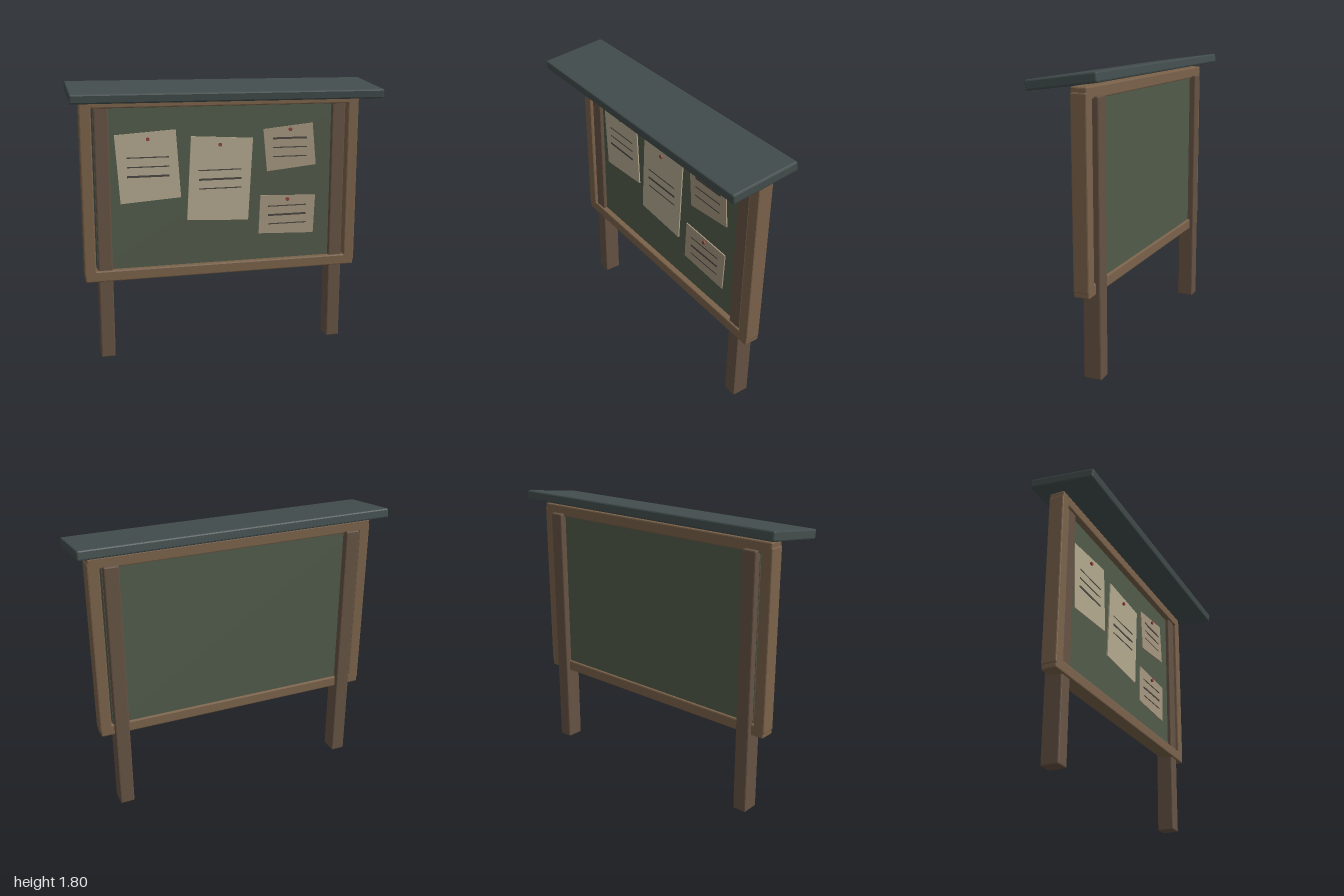
import * as THREE from 'three';
import { RoundedBoxGeometry } from 'three/addons/geometries/RoundedBoxGeometry.js';

const mat = (color) => {
  const m = new THREE.MeshStandardMaterial({ flatShading: true });
  m.color.set(color);
  return m;
};

export function createModel() {
  const model = new THREE.Group();
  const frameWood = mat(0x7a624a);
  const postWood = mat(0x665344);
  const slate = mat(0x434d4d);
  const felt = mat(0x515b4a);
  const paleSheet = mat(0xb3a98f);
  const darkSheet = mat(0xa5977f);
  const ink = mat(0x4a4642);
  const pinRed = mat(0x8f4236);

  // Beam with narrow chamfered edges, given by its extents
  function beam(name, material, [x0, x1], [y0, y1], [z0, z1], bevel = 0.008) {
    const geo = new RoundedBoxGeometry(x1 - x0, y1 - y0, z1 - z0, 1, bevel);
    const mesh = new THREE.Mesh(geo, material);
    mesh.position.set((x0 + x1) / 2, (y0 + y1) / 2, (z0 + z1) / 2);
    mesh.name = name;
    model.add(mesh);
    return mesh;
  }

  // Posts and frame stiles, mirrored
  for (const s of [-1, 1]) {
    const side = s > 0 ? 'left' : 'right';
    const span = (a, b) => (s > 0 ? [a, b] : [-b, -a]);
    beam(side + 'Post', postWood, span(0.747, 0.84), [0, 1.66], [-0.148, -0.033]);
    beam(side + 'Stile', frameWood, span(0.855, 0.93), [0.555, 1.685], [-0.12, -0.02]);
  }

  // Frame rails
  beam('bottomRail', frameWood, [-0.925, 0.925], [0.525, 0.597], [-0.12, -0.02]);
  beam('topRail', frameWood, [-0.925, 0.925], [1.643, 1.715], [-0.12, -0.02]);

  // Notice panel
  const panelFront = -0.06;
  beam('noticePanel', felt, [-0.845, 0.845], [0.59, 1.65], [-0.105, panelFront], 0.004);

  // Sloping roof, lower at the front
  const roof = beam('roof', slate, [-1, 1], [1.717, 1.777], [-0.218, 0.218], 0.01);
  roof.rotation.x = 0.133;

  // Pinned notices: x, y, width, height, tilt, pin height, bold line index
  const notices = [
    [-0.5, 1.262, 0.397, 0.445, 0.067, 1.44, 2, paleSheet],
    [-0.024, 1.163, 0.418, 0.552, -0.055, 1.39, 1, paleSheet],
    [0.457, 1.358, 0.346, 0.283, 0.1, 1.476, 0, darkSheet],
    [0.444, 0.9, 0.39, 0.262, -0.04, 1.005, 1, darkSheet],
  ];
  for (const [x, y, w, h, tilt, pinY, bold, sheetMat] of notices) {
    const notice = new THREE.Group();
    notice.name = 'notice';
    notice.position.set(x, y, panelFront);

    const sheet = new THREE.Mesh(new THREE.BoxGeometry(w, h, 0.008), sheetMat);
    sheet.name = 'sheet';
    sheet.position.z = 0.004;
    sheet.rotation.z = tilt;
    notice.add(sheet);

    // Written lines stay level
    for (let i = 0; i < 3; i++) {
      const height = i === bold ? 0.013 : 0.007;
      const line = new THREE.Mesh(new THREE.BoxGeometry(w * 0.69, height, 0.003), ink);
      line.name = 'writtenLine';
      line.position.set(0, (1 - i) * 0.061, 0.009);
      notice.add(line);
    }

    const pin = new THREE.Mesh(new THREE.CylinderGeometry(0.012, 0.012, 0.014, 10), pinRed);
    pin.name = 'pin';
    pin.rotation.x = Math.PI / 2;
    pin.position.set(0, pinY - y, 0.012);
    notice.add(pin);
    model.add(notice);
  }

  return model;
}
